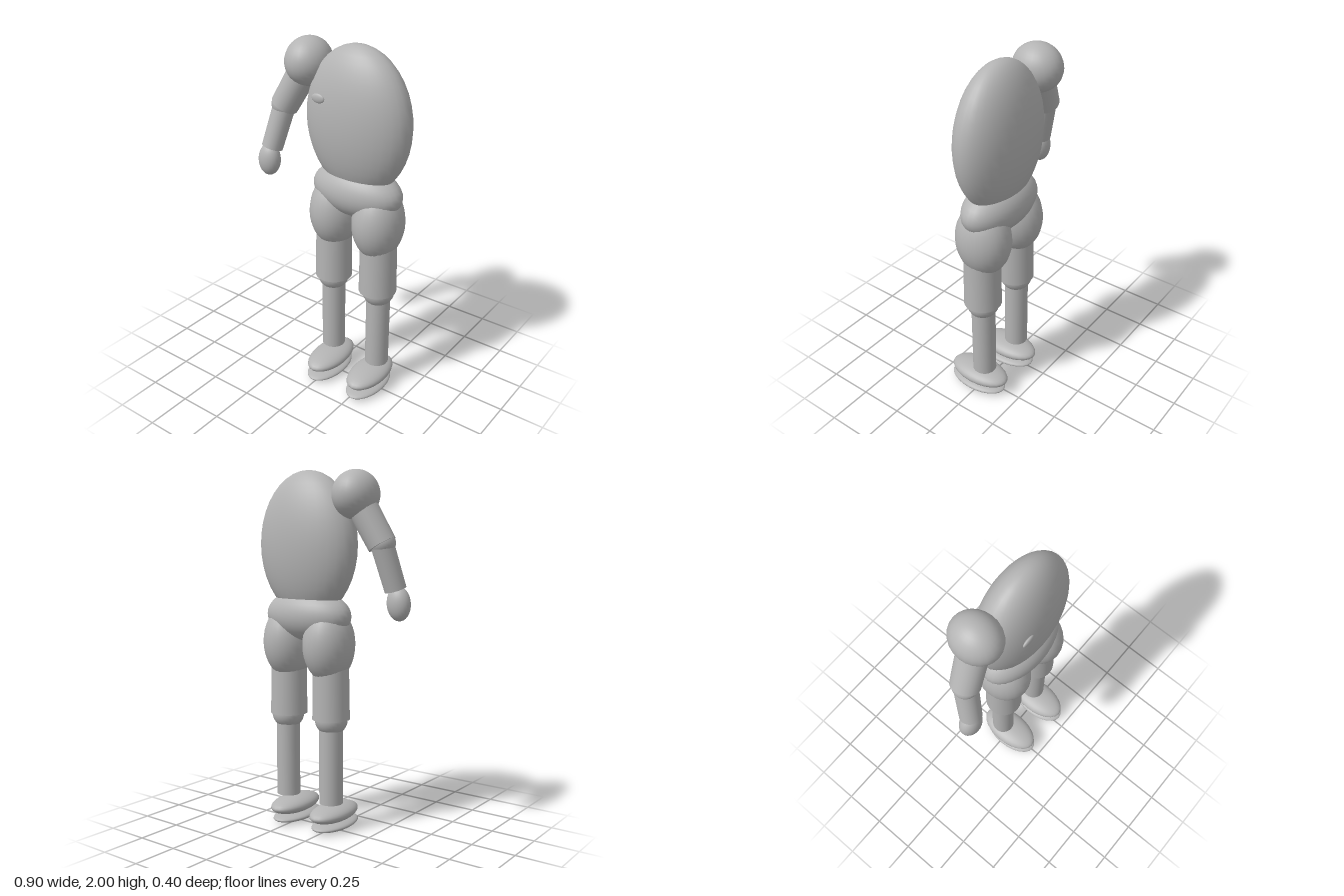
import * as THREE from 'three';

export function createModel() {
  const model = new THREE.Group();
  model.name = 'armouredFigure';
  const grey = new THREE.MeshStandardMaterial({ color: 0xb4b4b4 });
  grey.name = 'plain grey';

  const add = (name, geometry) => {
    const mesh = new THREE.Mesh(geometry, grey);
    mesh.name = name;
    model.add(mesh);
    return mesh;
  };

  // Ellipsoid from its centre and three radii
  const ellipsoid = (name, centre, radii, segments = 24) => {
    const mesh = add(name, new THREE.SphereGeometry(1, segments, 20));
    mesh.position.set(...centre);
    mesh.scale.set(...radii);
    return mesh;
  };

  // Closed, slightly tapered tube between two points
  const limb = (name, top, bottom, rTop, rBottom) => {
    const a = new THREE.Vector3(...top);
    const b = new THREE.Vector3(...bottom);
    const axis = a.clone().sub(b);
    const mesh = add(name, new THREE.CylinderGeometry(rTop, rBottom, axis.length(), 24));
    mesh.position.copy(a).add(b).multiplyScalar(0.5);
    mesh.quaternion.setFromUnitVectors(new THREE.Vector3(0, 1, 0), axis.normalize());
  };

  // Body
  const mid = 0.138;
  ellipsoid('torso', [mid, 1.6, -0.038], [0.312, 0.4, 0.164], 32);
  ellipsoid('pelvis', [mid, 1.215, -0.037], [0.272, 0.145, 0.148], 32);
  ellipsoid('chestButton', [-0.002, 1.735, 0.12], [0.039, 0.025, 0.011]);

  // Legs and feet, mirrored about the body's middle
  for (const [side, s] of [['right', -1], ['left', 1]]) {
    const x = (offset) => mid + s * offset;
    ellipsoid(side + 'Hip', [x(0.14), 1.06, -0.035], [0.139, 0.21, 0.157]);
    limb(side + 'Thigh', [x(0.148), 1.05, -0.03], [x(0.15), 0.645, -0.03], 0.099, 0.105);
    ellipsoid(side + 'Knee', [x(0.154), 0.645, -0.033], [0.092, 0.092, 0.092]);
    limb(side + 'Shin', [x(0.154), 0.64, -0.035], [x(0.154), 0.165, -0.035], 0.067, 0.067);
    ellipsoid(side + 'Shoe', [x(0.141), 0.097, 0.01], [0.102, 0.05, 0.186]);
    ellipsoid(side + 'Sole', [x(0.14), 0.029, 0.022], [0.099, 0.028, 0.18]);
  }

  // Single arm on the right side, reaching slightly forward
  ellipsoid('shoulder', [-0.182, 1.86, -0.04], [0.122, 0.13, 0.139]);
  limb('upperArm', [-0.19, 1.84, -0.035], [-0.32, 1.603, 0.0], 0.082, 0.077);
  ellipsoid('elbow', [-0.322, 1.61, 0.003], [0.068, 0.068, 0.068]);
  limb('forearm', [-0.32, 1.605, 0.0], [-0.367, 1.368, 0.06], 0.062, 0.059);
  const hand = ellipsoid('hand', [-0.382, 1.295, 0.069], [0.067, 0.093, 0.054]);
  hand.rotation.z = -0.1;

  return model;
}
